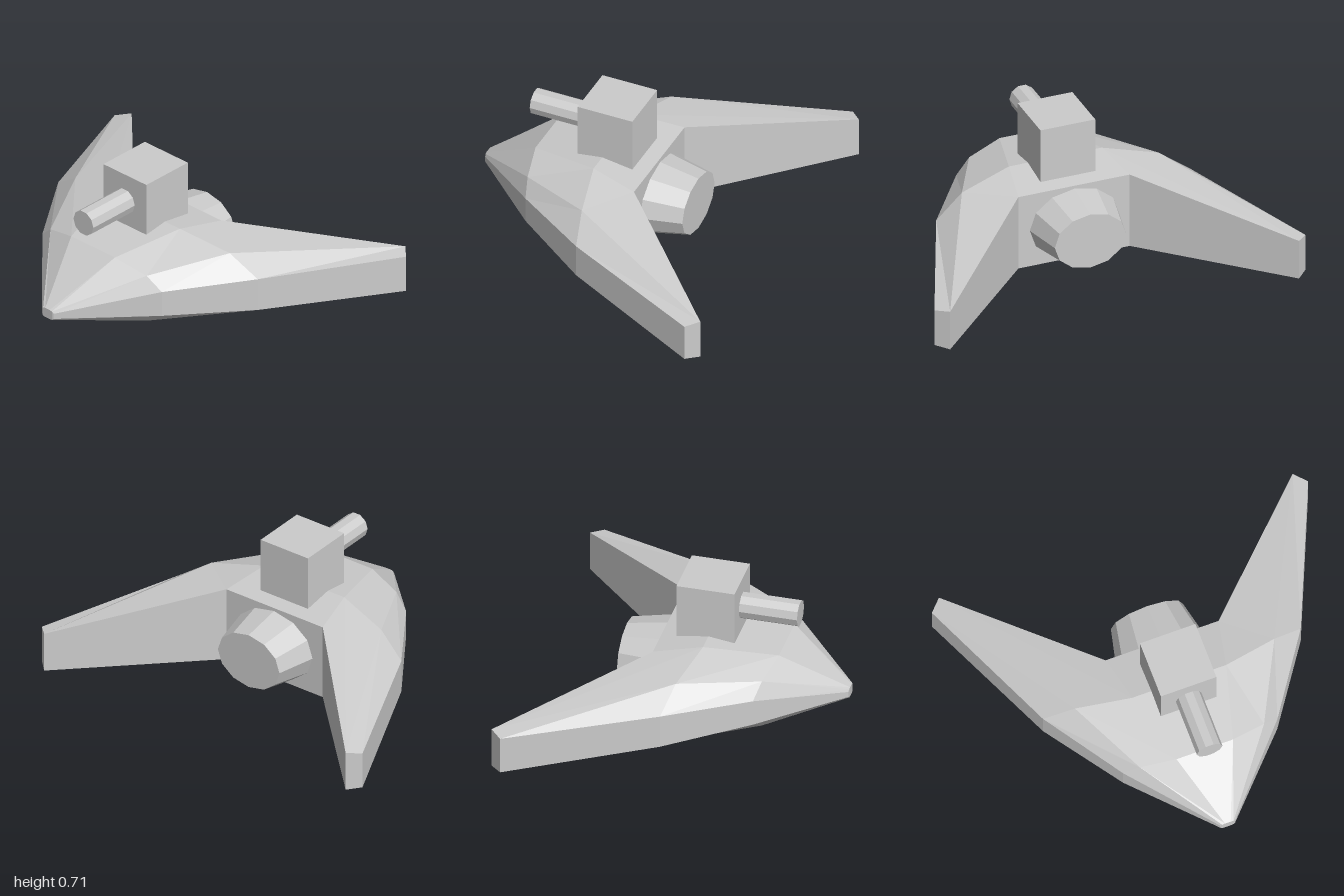
import * as THREE from 'three';

const material = new THREE.MeshStandardMaterial({ color: 0xcccccc, flatShading: true });

// Half sections from nose to tail: three points (inner, middle, outer)
// given as [x, z, top y, bottom y]
const SECTIONS = [
  [[0.015, 0.80, 0.178, 0.125], [0.03, 0.80, 0.175, 0.127], [0.04, 0.797, 0.165, 0.135]],
  [[0.15, 0.47, 0.395, 0.06], [0.33, 0.43, 0.345, 0.085], [0.41, 0.405, 0.273, 0.135]],
  [[0.25, 0.105, 0.445, 0.022], [0.53, 0.04, 0.39, 0.055], [0.685, 0.0, 0.285, 0.107]],
  [[0.30, -0.14, 0.408, 0.0], [0.94, -0.80, 0.235, 0.02], [1.0, -0.74, 0.225, 0.027]],
];

// Closed ring: top from +x to -x, then bottom from -x back to +x
function ring(half) {
  const across = [2, 1, 0, 0, 1, 2].map((k, i) => ({ p: half[k], s: i < 3 ? 1 : -1 }));
  const top = across.map(({ p, s }) => [s * p[0], p[2], p[1]]);
  const bottom = across.map(({ p, s }) => [s * p[0], p[3], p[1]]).reverse();
  return [...top, ...bottom];
}

function hullGeometry() {
  const rings = SECTIONS.map(ring);
  const n = rings[0].length;
  const pos = [];
  const quad = (a, b, c, d) => pos.push(...a, ...b, ...c, ...a, ...c, ...d);
  // Skin between neighbouring sections
  for (let r = 0; r < rings.length - 1; r++) {
    const a = rings[r], b = rings[r + 1];
    for (let i = 0; i < n; i++) {
      const j = (i + 1) % n;
      quad(a[i], b[i], b[j], a[j]);
    }
  }
  // Nose cap and swept rear wall, in strips from top to bottom
  const f = rings[0], e = rings[rings.length - 1];
  for (let i = 0; i < 5; i++) {
    quad(f[i], f[i + 1], f[n - 2 - i], f[n - 1 - i]);
    quad(e[i + 1], e[i], e[n - 1 - i], e[n - 2 - i]);
  }
  const g = new THREE.BufferGeometry();
  g.setAttribute('position', new THREE.Float32BufferAttribute(pos, 3));
  g.computeVertexNormals();
  return g;
}

function addPart(group, name, geometry, x, y, z) {
  const mesh = new THREE.Mesh(geometry, material);
  mesh.name = name;
  mesh.position.set(x, y, z);
  group.add(mesh);
}

export function createModel() {
  const group = new THREE.Group();
  group.name = 'wingedCraft';

  addPart(group, 'hull', hullGeometry(), 0, 0, 0);

  // Gun turret on top
  addPart(group, 'turret', new THREE.BoxGeometry(0.295, 0.315, 0.3), 0, 0.5575, 0.09);
  const barrel = new THREE.CylinderGeometry(0.068, 0.068, 0.32, 10);
  barrel.rotateY(Math.PI / 2).rotateX(Math.PI / 2);
  addPart(group, 'barrel', barrel, 0, 0.563, 0.38);

  // Flattened, tapered engine at the rear
  const engine = new THREE.CylinderGeometry(0.24, 0.192, 0.21, 12);
  engine.rotateX(Math.PI / 2).scale(1, 0.79, 1);
  addPart(group, 'engine', engine, 0, 0.205, -0.25);

  return group;
}
